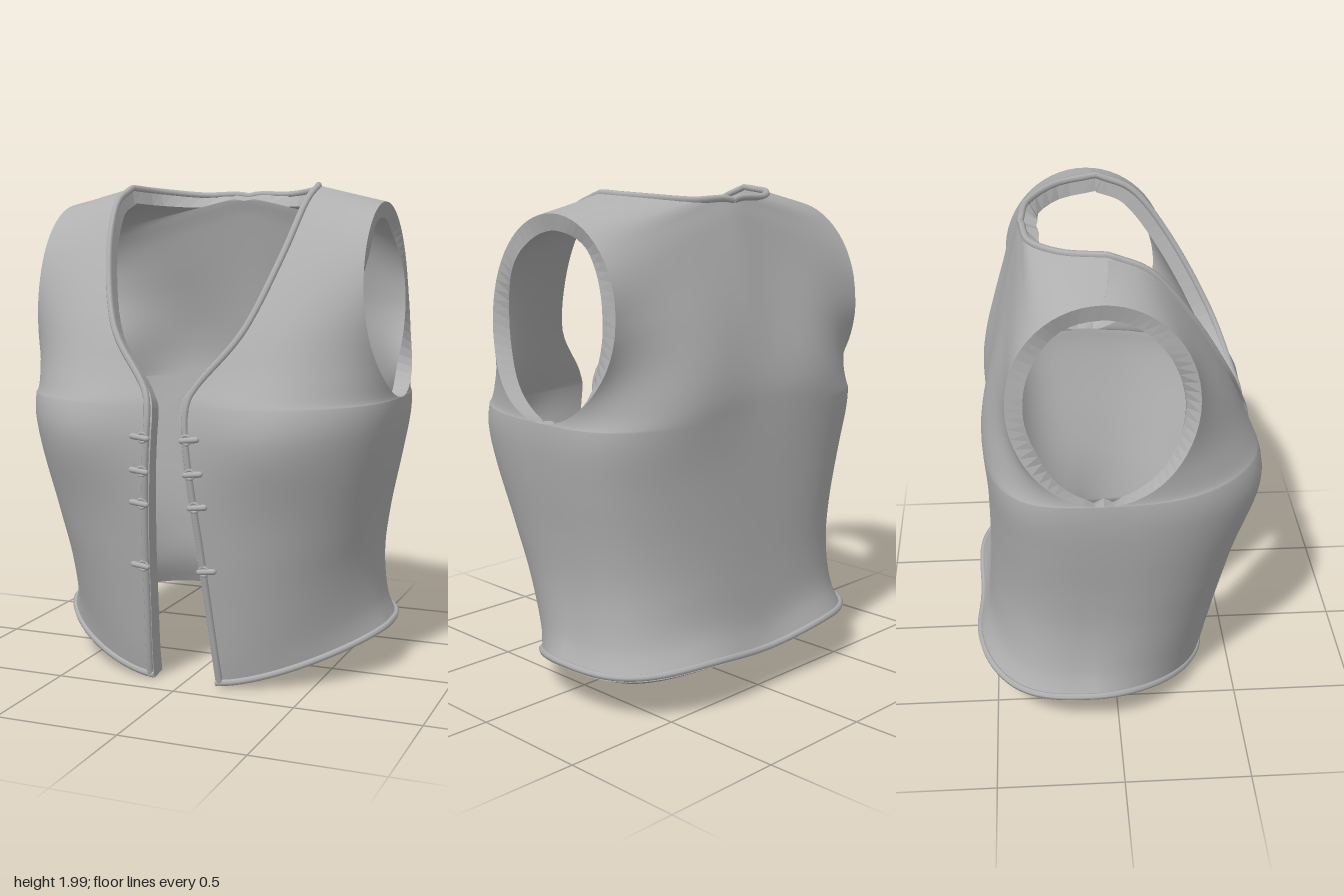
import * as THREE from 'three';
import { mergeVertices } from 'three/addons/utils/BufferGeometryUtils.js';

// Smooth interpolation through rows of [t, value, value, ...]
function sample(table, t) {
  let i = 0;
  while (i < table.length - 2 && t > table[i + 1][0]) i++;
  const a = table[i], b = table[i + 1], h = b[0] - a[0], s = (t - a[0]) / h;
  const p = table[Math.max(i - 1, 0)], q = table[Math.min(i + 2, table.length - 1)];
  return a.slice(1).map((va, k) => {
    const vb = b[k + 1];
    const ma = (vb - p[k + 1]) / (b[0] - p[0]) * h;
    const mb = (q[k + 1] - va) / (q[0] - a[0]) * h;
    const s2 = s * s, s3 = s2 * s;
    return va * (2 * s3 - 3 * s2 + 1) + ma * (s3 - 2 * s2 + s) + vb * (3 * s2 - 2 * s3) + mb * (s3 - s2);
  });
}

// v runs 0 hem, 1 armhole bottom, 2 shoulder seam.
// Front opening and neckline: v, x, y, z
const FRONT = [
  [0, 0.135, 0.01, 0.38], [0.1, 0.13, 0.114, 0.405], [0.3, 0.115, 0.342, 0.45],
  [0.5, 0.1, 0.57, 0.495], [0.75, 0.075, 0.855, 0.545], [0.9, 0.06, 1.03, 0.56],
  [1, 0.058, 1.14, 0.55], [1.2, 0.1, 1.23, 0.52], [1.4, 0.26, 1.43, 0.44],
  [1.6, 0.36, 1.7, 0.29], [1.8, 0.405, 1.91, 0.13], [2, 0.41, 1.985, -0.03],
];
// Centre back, then the back neckline from 1.7 up: v, x, y, z
const BACK = [
  [0, 0, 0.18, -0.565], [0.1, 0, 0.28, -0.53], [0.3, 0, 0.475, -0.515],
  [0.5, 0, 0.665, -0.51], [1, 0, 1.14, -0.505], [1.2, 0, 1.3, -0.495],
  [1.4, 0, 1.58, -0.44], [1.6, 0, 1.86, -0.37], [1.7, 0, 1.955, -0.34],
  [1.8, 0.2, 1.96, -0.31], [1.9, 0.35, 1.975, -0.195], [2, 0.41, 1.985, -0.03],
];
// Side seam and armhole: v, x
const SIDE = [
  [0, 0.715], [0.1, 0.68], [0.3, 0.668], [0.5, 0.69], [0.75, 0.735], [0.9, 0.758],
  [1, 0.762], [1.2, 0.745], [1.4, 0.705], [1.6, 0.685], [2, 0.68],
];
// Roundness of the cross-section: v, exponent
const FRONT_ROUND = [[0, 1.7], [0.1, 1.85], [0.3, 2.2], [0.5, 2.5], [0.9, 2.85], [1, 2.8], [1.2, 2.6], [1.4, 2.2], [2, 1.6]];
const BACK_ROUND = [[0, 3.1], [0.3, 2.8], [0.5, 2.85], [0.75, 3.2], [1, 3.7], [1.2, 3.2], [1.4, 2.4], [2, 1.6]];

// Outer surface on the left half; u runs from opening or centre back (0) to side (1)
function surface(u, v, front) {
  const [xn, yn, zn] = sample(front ? FRONT : BACK, v);
  const [n] = sample(front ? FRONT_ROUND : BACK_ROUND, v);
  const [xs] = sample(SIDE, v);
  const phi = Math.max(v - 1, 0) * Math.PI;
  const low = Math.min(v, 1);
  const ys = v < 1 ? 0.185 + 0.965 * v : 1.535 - 0.385 * Math.cos(phi);
  const middle = -0.1 + 0.035 * low;
  const zs = middle + (front ? 0.35 : -0.35) * Math.sin(phi);
  const swell = Math.sin(Math.PI * u) ** 2;
  const x0 = Math.max(xn, 0);
  const y = yn + (ys - yn) * Math.pow(u, front ? 1.4 - 0.4 * low : 1) + (front ? 0 : 0.025 * swell * (1 - low));

  // Oval cut off at the armhole, easing into a flatter slope towards the shoulder
  const r = Math.min((zs - middle) / (zn - middle), 0.99);
  const oval = middle + (zn - middle) * Math.pow(Math.max(1 - Math.pow(u, n) * (1 - Math.pow(Math.max(r, 0), n)), 0), 1 / n);
  const slope = zs + (zn - zs) * Math.pow(Math.max(1 - Math.pow(u, n), 0), 1 / 1.1);
  const mix = THREE.MathUtils.smoothstep(v, 1.2, 1.6);

  // Bust, shoulder blades and hem flare
  const bulge = front
    ? 0.045 * Math.exp(-(((y - 1.04) / 0.23) ** 2))
    : -0.035 * Math.exp(-(((y - 1.38) / 0.25) ** 2)) - 0.02 * Math.exp(-(((y - 0.2) / 0.1) ** 2));
  return new THREE.Vector3(x0 + (xs - x0) * u, y, oval + (slope - oval) * mix + bulge * swell);
}

// Four panels stitched into one outer skin
function outerSkin() {
  const rows = 54, lower = 24, cols = 20, pos = [], idx = [];
  for (const front of [true, false]) for (const side of [1, -1]) {
    const base = pos.length / 3;
    for (let i = 0; i <= rows; i++) for (let j = 0; j <= cols; j++) {
      const v = i <= lower ? i / lower : 1 + (i - lower) / (rows - lower);
      const p = surface(Math.sin(j / cols * Math.PI / 2), v, front);
      pos.push(p.x * side, p.y, p.z);
    }
    for (let i = 0; i < rows; i++) for (let j = 0; j < cols; j++) {
      const a = base + i * (cols + 1) + j, b = a + 1, d = a + cols + 1, c = d + 1;
      if (front === (side > 0)) idx.push(a, b, c, a, c, d);
      else idx.push(a, c, b, a, d, c);
    }
  }
  let g = new THREE.BufferGeometry();
  g.setAttribute('position', new THREE.Float32BufferAttribute(pos, 3));
  g.setIndex(idx);
  g = mergeVertices(g, 1e-4);
  g.computeVertexNormals();
  return g;
}

// Lining: the outer skin moved inward and turned round
function liningOf(outer, thickness) {
  const g = outer.clone(), p = g.attributes.position, n = outer.attributes.normal;
  for (let i = 0; i < p.count; i++) {
    p.setXYZ(i, p.getX(i) - n.getX(i) * thickness, p.getY(i) - n.getY(i) * thickness, p.getZ(i) - n.getZ(i) * thickness);
  }
  g.setIndex(Array.from(outer.index.array).reverse());
  g.computeVertexNormals();
  return g;
}

// Cut edges: join skin and lining wherever an edge has only one face
function edgesOf(outer, inner) {
  const ix = outer.index.array, seen = new Set(), pos = [];
  const ends = (k) => [ix[k], ix[k % 3 === 2 ? k - 2 : k + 1]];
  for (let k = 0; k < ix.length; k++) seen.add(ends(k).join('_'));
  const put = (g, i) => pos.push(g.attributes.position.getX(i), g.attributes.position.getY(i), g.attributes.position.getZ(i));
  for (let k = 0; k < ix.length; k++) {
    const [a, b] = ends(k);
    if (a === b || seen.has(b + '_' + a)) continue;
    put(outer, b); put(outer, a); put(inner, a);
    put(outer, b); put(inner, a); put(inner, b);
  }
  const g = new THREE.BufferGeometry();
  g.setAttribute('position', new THREE.Float32BufferAttribute(pos, 3));
  g.computeVertexNormals();
  return g;
}

export function createModel() {
  const group = new THREE.Group();
  const grey = new THREE.MeshStandardMaterial({ color: 0xb0b0b0 });
  grey.name = 'grey cloth';
  const add = (name, geometry, parent = group) => {
    const mesh = new THREE.Mesh(geometry, grey);
    mesh.name = name;
    parent.add(mesh);
    return mesh;
  };

  const outer = outerSkin();
  const inner = liningOf(outer, 0.065);
  add('vestBody', outer);
  add('vestLining', inner);
  add('cutEdges', edgesOf(outer, inner));

  for (const side of [1, -1]) {
    const label = side > 0 ? 'left' : 'right';
    const at = (u, v, front) => {
      const p = surface(u, v, front);
      p.x *= side;
      return p;
    };
    const piping = (points) => new THREE.TubeGeometry(new THREE.CatmullRomCurve3(points), 90, 0.014, 6);

    // Piping up the opening, round the neck to the centre back
    const neck = [];
    for (let i = 0; i <= 40; i++) {
      const v = 0.01 + 1.99 * i / 40;
      neck.push(at(0.03 * Math.min(1, 2 - v), v, true));
    }
    for (let i = 1; i <= 10; i++) neck.push(at(0, 2 - 0.03 * i, false));
    add(label + 'NeckPiping', piping(neck));

    // Piping round the hem
    const hem = [];
    for (let i = 0; i <= 16; i++) hem.push(at(Math.sin(i / 16 * Math.PI / 2), 0.015, true));
    for (let i = 15; i >= 0; i--) hem.push(at(Math.sin(i / 16 * Math.PI / 2), 0.015, false));
    add(label + 'HemPiping', piping(hem));

    // Toggles with a small loop beside the opening
    for (const y of [1.02, 0.89, 0.76, 0.5]) {
      const toggle = new THREE.Group();
      toggle.name = label + 'Toggle';
      toggle.position.copy(at(0.06, y / 1.14, true));
      toggle.position.z += 0.012;
      const bar = add('toggleBar', new THREE.CapsuleGeometry(0.012, 0.06, 3, 8), toggle);
      bar.rotation.z = Math.PI / 2 + side * 0.12;
      const loop = add('toggleLoop', new THREE.TorusGeometry(0.018, 0.006, 6, 10), toggle);
      loop.position.x = -side * 0.012;
      group.add(toggle);
    }
  }
  return group;
}
